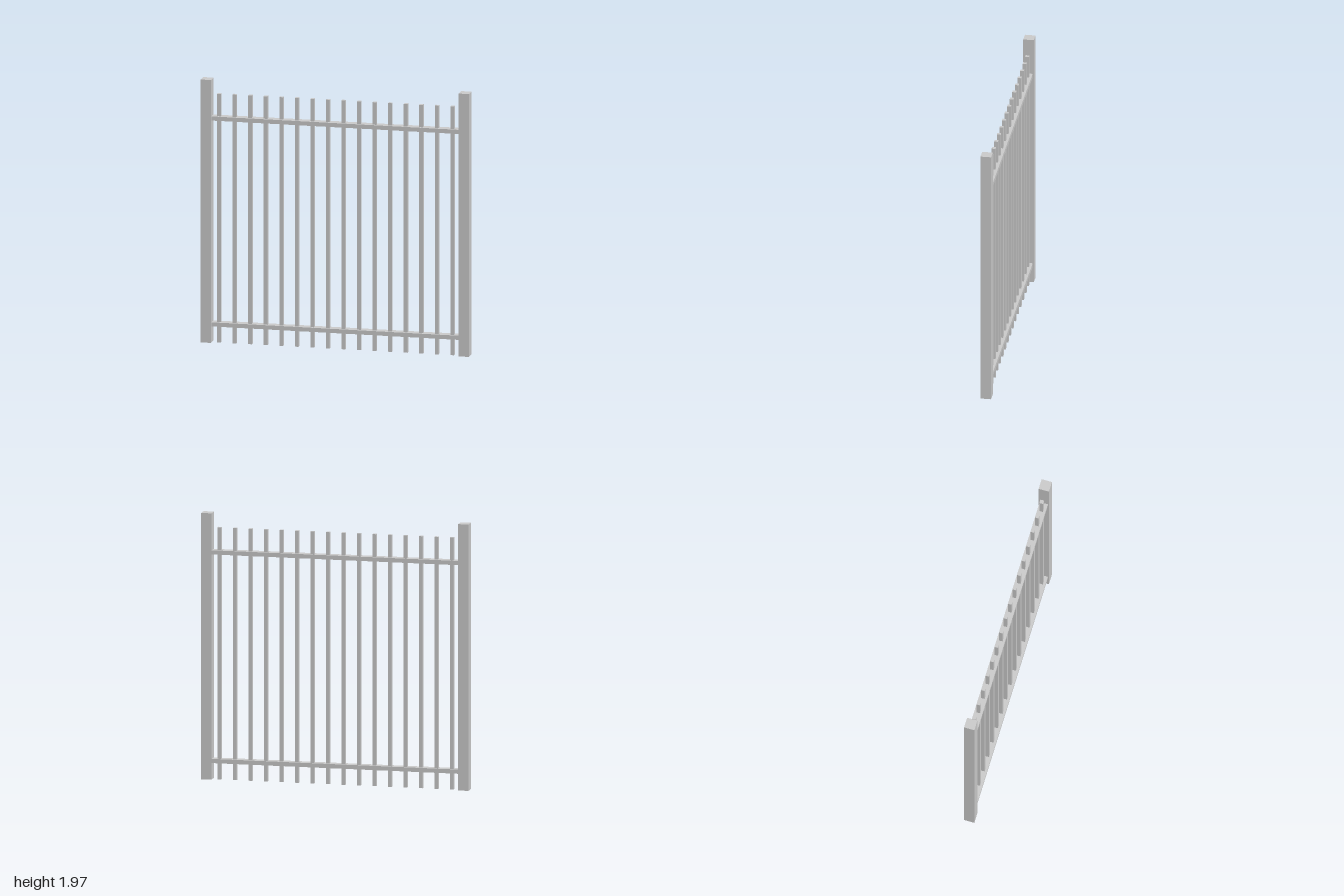
import * as THREE from 'three';

const material = new THREE.MeshStandardMaterial({ color: 0xcccccc, side: THREE.DoubleSide });

// Upright bar standing on the ground, open underneath
function upright(name, width, height, x) {
  const geometry = new THREE.BoxGeometry(width, height, width);
  const index = Array.from(geometry.index.array);
  index.splice(18, 6); // remove the bottom face
  geometry.setIndex(index);
  geometry.clearGroups();
  const mesh = new THREE.Mesh(geometry, material);
  mesh.name = name;
  mesh.position.set(x, height / 2, 0);
  return mesh;
}

export function createModel() {
  const group = new THREE.Group();
  group.name = 'fencePanel';

  // End posts
  const postWidth = 0.078;
  const postX = 1 - postWidth / 2;
  group.add(upright('leftPost', postWidth, 1.966, postX));
  group.add(upright('rightPost', postWidth, 1.966, -postX));

  // Horizontal rails between the posts
  const railLength = 2 * (1 - postWidth);
  for (const [name, y] of [['lowerRail', 0.137], ['upperRail', 1.677]]) {
    const rail = new THREE.Mesh(new THREE.BoxGeometry(railLength, 0.031, 0.062), material);
    rail.name = name;
    rail.position.y = y;
    group.add(rail);
  }

  // Evenly spaced pickets passing through both rails
  const count = 16;
  const pickets = new THREE.Group();
  pickets.name = 'pickets';
  for (let i = 0; i < count; i++) {
    const x = THREE.MathUtils.lerp(-0.869, 0.869, i / (count - 1));
    pickets.add(upright('picket', 0.028, 1.86, x));
  }
  group.add(pickets);

  return group;
}
